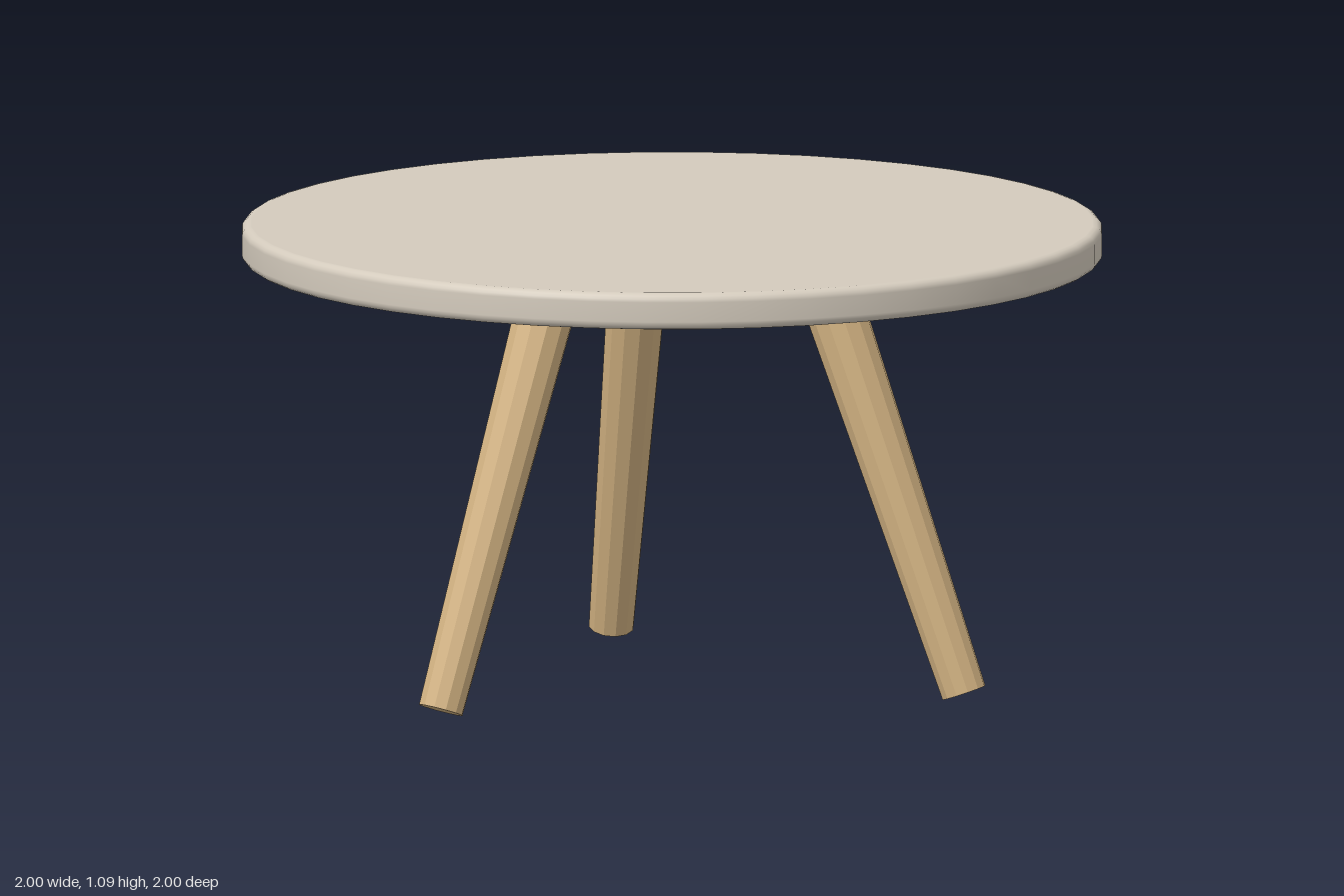
import * as THREE from 'three';

const stone = new THREE.MeshStandardMaterial({ color: 0xd4cbbd });
const wood = new THREE.MeshStandardMaterial({ color: 0xd4b483, flatShading: true });

// Disc with rounded rims, from y0 to y1
function roundedDisc(radius, y0, y1, r, segments) {
  const points = [new THREE.Vector2(0, y0), new THREE.Vector2(radius - r - 0.002, y0)];
  const arc = (cy, start) => {
    for (let i = 0; i <= 4; i++) {
      const a = start + (i / 4) * Math.PI / 2;
      points.push(new THREE.Vector2(radius - r + r * Math.cos(a), cy + r * Math.sin(a)));
    }
  };
  arc(y0 + r, -Math.PI / 2);
  arc(y1 - r, 0);
  points.push(new THREE.Vector2(radius - r - 0.002, y1), new THREE.Vector2(0, y1));
  return new THREE.LatheGeometry(points, segments);
}

export function createModel() {
  const table = new THREE.Group();
  table.name = 'roundTable';

  // Table top
  const top = new THREE.Mesh(roundedDisc(1, 1.0, 1.086, 0.02, 48), stone);
  top.name = 'tableTop';
  table.add(top);

  // Mounting plate under the top
  const plate = new THREE.Mesh(new THREE.CylinderGeometry(0.457, 0.457, 0.058, 32), wood);
  plate.name = 'mountingPlate';
  plate.position.y = 0.973;
  table.add(plate);

  // Three splayed, tapered legs: one in front, two behind
  const foot = new THREE.Vector3(0, 0.018, 0.715);
  const head = new THREE.Vector3(0, 0.97, 0.376);
  const axis = head.clone().sub(foot);
  const legGeometry = new THREE.CylinderGeometry(0.072, 0.053, axis.length(), 12);
  ['frontLeg', 'backLeftLeg', 'backRightLeg'].forEach((name, i) => {
    const leg = new THREE.Mesh(legGeometry, wood);
    leg.position.copy(foot).add(head).multiplyScalar(0.5);
    leg.quaternion.setFromUnitVectors(new THREE.Vector3(0, 1, 0), axis.clone().normalize());
    const pivot = new THREE.Group();
    pivot.name = name;
    pivot.rotation.y = i * Math.PI * 2 / 3;
    pivot.add(leg);
    table.add(pivot);
  });

  return table;
}
